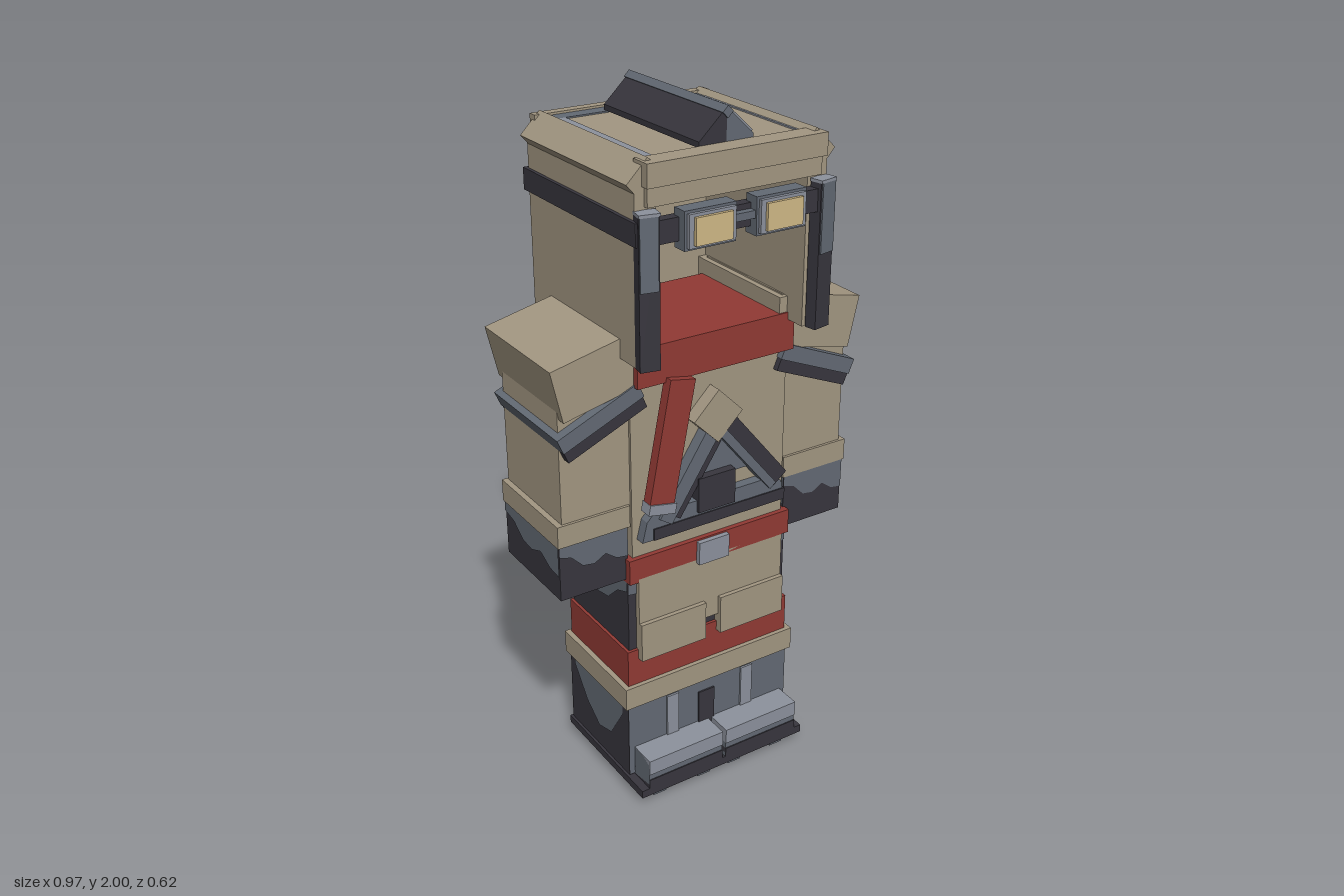
import * as THREE from 'three';

const mat = (name, color, side = THREE.FrontSide) => {
  const m = new THREE.MeshStandardMaterial({ color, side });
  m.name = name;
  return m;
};

export function createModel() {
  const tan = mat('tan cloth', 0xa39782);
  const red = mat('red cloth', 0x913a34);
  const dark = mat('dark steel', 0x38363e);
  const slate = mat('slate steel', 0x636a74);
  const light = mat('light steel', 0x8d929d);
  const glass = mat('amber glass', 0xd0b987);

  const root = new THREE.Group();
  root.name = 'armouredFigure';

  const add = (name, geo, m, x = 0, y = 0, z = 0, rz = 0, ry = 0) => {
    const mesh = new THREE.Mesh(geo, m);
    mesh.name = name;
    mesh.position.set(x, y, z);
    mesh.rotation.set(0, ry, rz);
    root.add(mesh);
    return mesh;
  };
  // Box from its limits on each axis
  const box = (name, m, x0, x1, y0, y1, z0, z1) =>
    add(name, new THREE.BoxGeometry(x1 - x0, y1 - y0, z1 - z0), m, (x0 + x1) / 2, (y0 + y1) / 2, (z0 + z1) / 2);
  // Box from its centre, size and turn
  const tilt = (name, m, x, y, z, w, h, d, rz = 0, ry = 0) =>
    add(name, new THREE.BoxGeometry(w, h, d), m, x, y, z, rz, ry);
  // Prism: outline in x and y, extruded from z0 to z1
  const prism = (name, m, pts, z0, z1) => {
    const s = new THREE.Shape(pts.map(p => new THREE.Vector2(...p)));
    return add(name, new THREE.ExtrudeGeometry(s, { depth: z1 - z0, bevelEnabled: false }), m, 0, 0, z0);
  };
  // Painted patch with a straight top and a stepped lower edge of given drops
  const patch = (name, m, w, drops, x, y, z, ry) => {
    const s = new THREE.Shape();
    s.moveTo(w / 2, 0);
    s.lineTo(-w / 2, 0);
    const n = drops.length - 1;
    drops.forEach((d, i) => s.lineTo(-w / 2 + (w * i) / n, -d));
    add(name, new THREE.ShapeGeometry(s), m, x, y, z, 0, ry);
  };
  // Patches on the four sides of a box
  const wrap = (name, m, x0, x1, z0, z1, y, drops, sides = 'fbrl') => {
    const e = 0.003, cx = (x0 + x1) / 2, cz = (z0 + z1) / 2;
    if (sides.includes('f')) patch(name, m, x1 - x0, drops, cx, y, z1 + e, 0);
    if (sides.includes('b')) patch(name, m, x1 - x0, drops, cx, y, z0 - e, Math.PI);
    if (sides.includes('l')) patch(name, m, z1 - z0, drops, x1 + e, y, cz, Math.PI / 2);
    if (sides.includes('r')) patch(name, m, z1 - z0, drops, x0 - e, y, cz, -Math.PI / 2);
  };

  // Boots with studded soles
  for (const x of [-0.21, -0.055, 0.055, 0.21])
    for (const z of [0.185, -0.12]) box('soleStud', slate, x - 0.022, x + 0.022, 0, 0.04, z - 0.022, z + 0.022);
  box('sole', dark, -0.285, 0.285, 0.03, 0.055, -0.195, 0.232);
  box('boots', dark, -0.277, 0.277, 0.055, 0.3, -0.19, 0.148);
  wrap('bootFront', slate, -0.277, 0.277, -0.19, 0.148, 0.3, [0.24, 0.24], 'f');
  wrap('bootPatch', slate, -0.2, 0.2, -0.19, 0.148, 0.3, [0.03, 0.05, 0.15, 0.17, 0.16, 0.08, 0.03], 'b');
  wrap('bootPatch', slate, -0.277, 0.277, -0.16, 0.12, 0.3, [0.03, 0.12, 0.17, 0.15, 0.04], 'r');
  box('bootGap', dark, -0.04, 0.015, 0.055, 0.26, 0.14, 0.156);
  for (const s of [-1, 1]) {
    box('bootStrap', light, s * 0.13 - 0.02, s * 0.13 + 0.02, 0.15, 0.29, 0.14, 0.157);
    const a = s < 0 ? -0.26 : 0.006;
    box('toeCap', slate, a, a + 0.254, 0.055, 0.15, 0.14, 0.23);
    box('toeCapPlate', light, a, a + 0.254, 0.105, 0.153, 0.14, 0.234);
    box('toeBase', dark, a, a + 0.254, 0.055, 0.085, 0.14, 0.233);
  }
  box('bootCuff', tan, -0.29, 0.29, 0.3, 0.37, -0.197, 0.16);
  box('kneeBand', red, -0.274, 0.274, 0.37, 0.485, -0.185, 0.147);

  // Trousers with cloth panels front and back
  box('trousers', dark, -0.265, 0.265, 0.48, 0.72, -0.178, 0.138);
  wrap('trouserPatch', slate, -0.265, 0.265, -0.178, 0.138, 0.71, [0.04, 0.05, 0.1, 0.11, 0.1, 0.05, 0.03]);
  box('frontPanel', tan, -0.24, 0.245, 0.515, 0.72, 0.13, 0.155);
  box('backPanel', tan, -0.24, 0.24, 0.52, 0.72, -0.195, -0.17);
  box('pocketRight', tan, -0.24, -0.025, 0.455, 0.575, 0.13, 0.168);
  box('pocketLeft', tan, 0.025, 0.245, 0.455, 0.575, 0.13, 0.168);

  // Torso, belt and collar
  box('torso', tan, -0.25, 0.25, 0.7, 1.32, -0.17, 0.14);
  box('belt', red, -0.268, 0.268, 0.71, 0.785, -0.197, 0.155);
  box('beltBuckle', light, -0.05, 0.05, 0.71, 0.78, 0.15, 0.17);
  box('collar', red, -0.247, 0.247, 1.3, 1.41, -0.2, 0.175);
  box('backStrap', red, -0.25, 0.25, 1.12, 1.16, -0.192, -0.165);

  // Sash and chest plate
  tilt('sash', red, -0.155, 1.13, 0.18, 0.078, 0.36, 0.032, -0.19);
  tilt('sashClip', light, -0.188, 0.945, 0.18, 0.085, 0.03, 0.04, -0.19);
  prism('chestPlate', slate, [[-0.235, 0.84], [0.235, 0.84], [0.225, 0.9], [0.2, 0.92], [-0.2, 0.92], [-0.22, 0.9]], 0.13, 0.17);
  box('chestPlateEdge', dark, -0.2, 0.235, 0.84, 0.875, 0.13, 0.174);
  prism('chestPeak', slate, [[-0.12, 0.97], [-0.06, 0.97], [0.06, 0.97], [0.12, 0.97], [0, 1.13]], 0.13, 0.155);
  box('chestBlock', dark, -0.06, 0.06, 0.885, 0.99, 0.13, 0.18);
  tilt('braceLeft', dark, 0.12, 1.03, 0.16, 0.055, 0.3, 0.036, 0.68);
  tilt('braceLeftEdge', slate, 0.095, 1.015, 0.16, 0.025, 0.3, 0.042, 0.68);
  tilt('braceRight', slate, -0.085, 1.01, 0.16, 0.045, 0.29, 0.036, -0.58);
  tilt('braceRightEdge', dark, -0.06, 0.99, 0.16, 0.02, 0.24, 0.03, -0.58);
  tilt('chestDiamond', tan, 0, 1.165, 0.16, 0.11, 0.11, 0.045, Math.PI / 4);

  // Arms, mirrored
  for (const s of [-1, 1]) {
    const span = (name, m, a, b, ...r) => box(name, m, Math.min(s * a, s * b), Math.max(s * a, s * b), ...r);
    span('arm', tan, 0.245, 0.458, 0.93, 1.32, -0.172, 0.132);
    span('armCuff', tan, 0.255, 0.475, 0.885, 0.95, -0.178, 0.14);
    span('glove', dark, 0.262, 0.47, 0.72, 0.9, -0.173, 0.134);
    const [x0, x1] = s > 0 ? [0.262, 0.47] : [-0.47, -0.262];
    wrap('glovePatch', slate, x0, x1, -0.173, 0.134, 0.885, [0.03, 0.04, 0.075, 0.08, 0.06, 0.085, 0.09]);
    tilt('shoulderPad', tan, s * 0.335, 1.355, -0.023, 0.275, 0.15, 0.358, -s * 0.22);
    const r = -s * 0.4;
    tilt('armBand', dark, s * 0.34, 1.222, -0.015, 0.255, 0.075, 0.345, r);
    tilt('armBandTop', slate, s * 0.347, 1.24, -0.015, 0.26, 0.045, 0.352, r);
  }

  // Open-fronted hood, hollow inside
  box('hoodBack', tan, -0.285, 0.285, 1.39, 1.85, -0.3, -0.22);
  box('hoodRoof', tan, -0.25, 0.25, 1.8, 1.9, -0.295, 0.235);
  box('hoodBackTrim', tan, -0.27, 0.27, 1.855, 1.91, -0.308, -0.28);
  box('visor', tan, -0.258, 0.258, 1.8, 1.86, 0.2, 0.25);
  box('visorTrim', tan, -0.265, 0.265, 1.85, 1.91, 0.2, 0.262);
  for (const s of [-1, 1]) {
    const [a, b] = s > 0 ? [0.225, 0.285] : [-0.285, -0.225];
    box('hoodSide', tan, a, b, 1.39, 1.85, -0.3, 0.235);
    box('hoodInnerHem', tan, Math.min(s * 0.2, s * 0.23), Math.max(s * 0.2, s * 0.23), 1.4, 1.455, -0.22, 0.17);
    const [c, d] = s > 0 ? [0.28, 0.295] : [-0.295, -0.28];
    box('headStrapSide', dark, c, d, 1.71, 1.77, -0.31, 0.255);
    prism('hoodRail', tan, [[0.307, 1.86], [0.248, 1.918], [0.228, 1.9], [0.235, 1.84], [0.285, 1.835]].map(([x, y]) => [s * x, y]), -0.295, 0.237);
    // Cheek guards
    tilt('cheekGuard', dark, s * 0.262, 1.59, 0.252, 0.054, 0.4, 0.035, 0, s * 0.2);
    tilt('cheekGuardPlate', slate, s * 0.264, 1.695, 0.256, 0.048, 0.194, 0.035, 0, s * 0.2);
    tilt('cheekGuardCap', light, s * 0.262, 1.789, 0.254, 0.056, 0.008, 0.04, 0, s * 0.2);
    // Goggles
    const g = s * 0.105;
    box('goggleHousing', slate, g - 0.075, g + 0.075, 1.69, 1.79, 0.245, 0.29);
    box('goggleRim', light, g - 0.068, g + 0.068, 1.697, 1.783, 0.28, 0.3);
    box('goggleLens', glass, g - 0.054, g + 0.054, 1.704, 1.775, 0.3, 0.309);
  }
  box('headStrapBack', dark, -0.295, 0.295, 1.71, 1.77, -0.312, -0.295);
  box('headStrapFront', dark, -0.24, 0.24, 1.71, 1.77, 0.235, 0.265);
  box('goggleBridge', slate, -0.035, 0.035, 1.735, 1.755, 0.26, 0.285);

  // Metal edging on the roof
  box('roofEdgeBack', slate, -0.23, 0.23, 1.895, 1.904, -0.294, -0.238);
  box('roofEdgeFront', light, -0.23, 0.23, 1.895, 1.904, 0.19, 0.234);
  box('roofEdgeRight', light, -0.23, -0.202, 1.895, 1.904, -0.238, 0.19);
  box('roofEdgeLeft', light, 0.226, 0.24, 1.895, 1.904, -0.238, 0.19);

  // Roof crest
  prism('crestLeft', slate, [[0, 1.89], [0.08, 1.905], [0.08, 1.92], [0.005, 1.99], [0, 1.99]], -0.25, 0.2);
  prism('crestRight', dark, [[0, 1.89], [0, 1.99], [-0.005, 1.99], [-0.08, 1.92], [-0.08, 1.905]], -0.25, 0.2);
  tilt('crestPlate', light, 0.044, 1.957, 0.075, 0.095, 0.006, 0.24, -0.75);
  tilt('crestRidge', slate, 0, 1.984, -0.024, 0.022, 0.022, 0.46, Math.PI / 4);

  // Tool slung across the back
  const lean = -Math.atan2(0.43, 0.54);
  tilt('toolShaft', slate, 0.005, 1.08, -0.215, 0.03, 0.7, 0.03, lean);
  tilt('toolGrip', dark, -0.105, 0.942, -0.215, 0.034, 0.2, 0.034, lean);
  tilt('toolPommel', slate, -0.205, 0.805, -0.217, 0.05, 0.08, 0.045, lean);
  tilt('toolHead', slate, 0.255, 1.325, -0.222, 0.2, 0.05, 0.042, -0.45);
  tilt('toolBlade', dark, 0.315, 1.285, -0.222, 0.07, 0.085, 0.03, -0.45);
  tilt('toolCollar', light, 0.205, 1.33, -0.218, 0.055, 0.06, 0.048, lean);

  return root;
}
